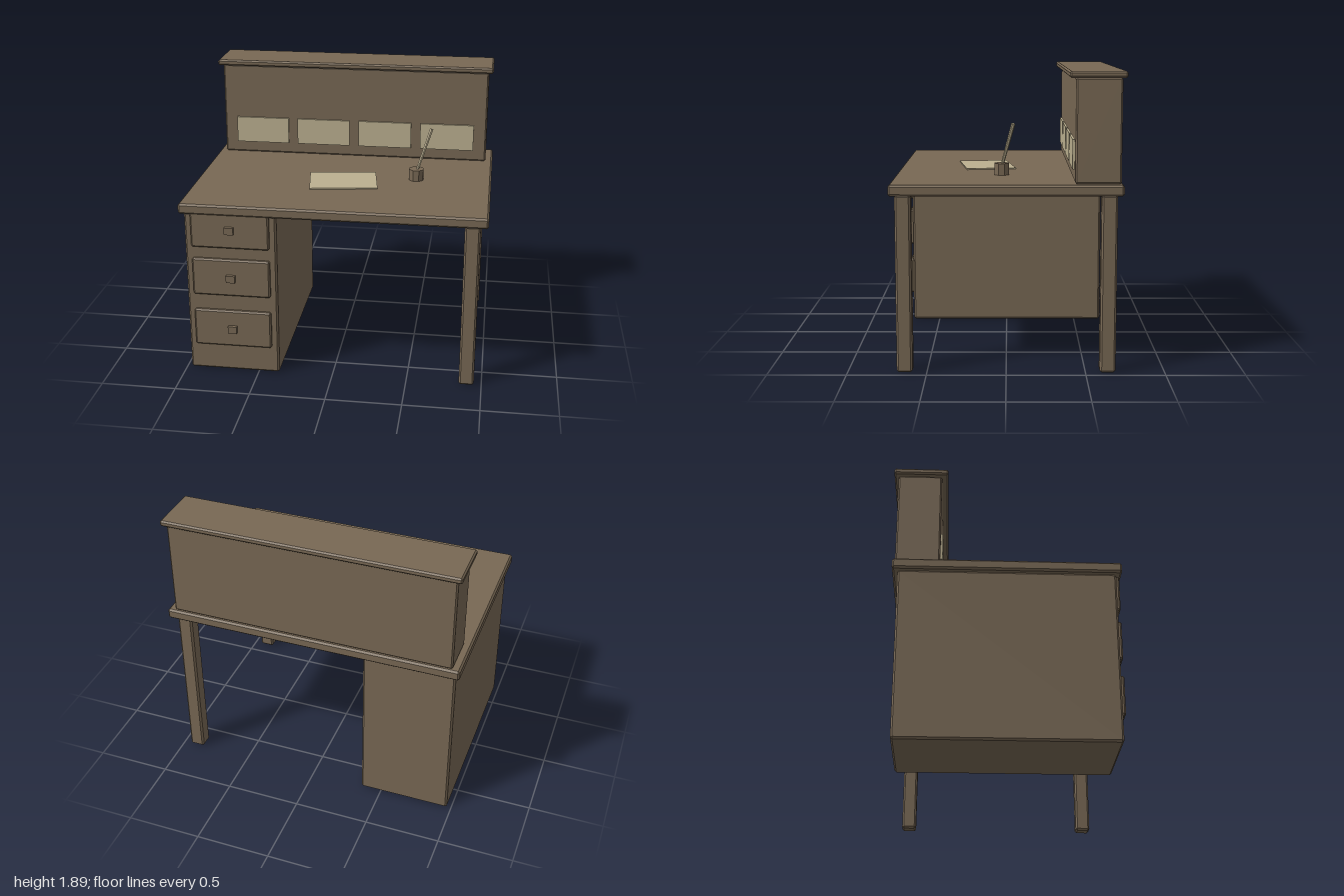
import * as THREE from 'three';
import { ConvexGeometry } from 'three/addons/geometries/ConvexGeometry.js';

const wood = new THREE.MeshStandardMaterial({ color: 0x786854 });
wood.name = 'wood';
const parchment = new THREE.MeshStandardMaterial({ color: 0xbcb090 });
parchment.name = 'parchment';

// Box with every edge cut by a flat chamfer c
function chamferBox(w, h, d, c) {
  const points = [];
  for (const x of [-w / 2, w / 2]) for (const y of [-h / 2, h / 2]) for (const z of [-d / 2, d / 2]) {
    const sx = Math.sign(x) * c, sy = Math.sign(y) * c, sz = Math.sign(z) * c;
    points.push(
      new THREE.Vector3(x, y - sy, z - sz),
      new THREE.Vector3(x - sx, y, z - sz),
      new THREE.Vector3(x - sx, y - sy, z));
  }
  return new ConvexGeometry(points);
}

export function createModel() {
  const desk = new THREE.Group();
  desk.name = 'desk';

  // Adds a box given by its extents on each axis
  function block(name, [x0, x1], [y0, y1], [z0, z1], chamfer = 0, material = wood) {
    const w = x1 - x0, h = y1 - y0, d = z1 - z0;
    const geometry = chamfer ? chamferBox(w, h, d, chamfer) : new THREE.BoxGeometry(w, h, d);
    const mesh = new THREE.Mesh(geometry, material);
    mesh.name = name;
    mesh.position.set((x0 + x1) / 2, (y0 + y1) / 2, (z0 + z1) / 2);
    desk.add(mesh);
    return mesh;
  }

  // Top, drawer cabinet and the two legs
  block('desktop', [-1, 1], [1.13, 1.2], [-0.725, 0.725], 0.012);
  block('cabinet', [-0.97, -0.36], [0, 1.13], [-0.69, 0.69], 0.012);
  block('frontLeg', [0.85, 0.95], [0, 1.13], [0.59, 0.69], 0.012);
  block('backLeg', [0.85, 0.95], [0, 1.13], [-0.69, -0.59], 0.012);

  // Drawers with square knobs
  for (const y of [0.32, 0.69, 1.03]) {
    block('drawerFront', [-0.925, -0.405], [y - 0.13, y + 0.13], [0.66, 0.715], 0.01);
    block('drawerKnob', [-0.695, -0.635], [y - 0.024, y + 0.024], [0.7, 0.738]);
  }

  // Raised back shelf and its cap
  block('hutch', [-0.95, 0.95], [1.2, 1.85], [-0.71, -0.425], 0.01);
  block('hutchCap', [-0.98, 0.98], [1.85, 1.89], [-0.738, -0.385], 0.01);
  for (let i = 0; i < 4; i++) {
    const x = (i - 1.5) * 0.446;
    block('hutchPanel', [x - 0.19, x + 0.19], [1.28, 1.465], [-0.43, -0.411], 0, parchment);
  }

  // Sheet of paper lying askew
  const paper = block('paper', [-0.2275, 0.2275], [1.2, 1.208], [-0.032, 0.302], 0, parchment);
  paper.rotation.y = 0.147;

  // Eight-sided inkwell
  const inkwell = new THREE.Mesh(
    new THREE.CylinderGeometry(0.052, 0.052, 0.076, 8).toNonIndexed(), wood);
  inkwell.geometry.computeVertexNormals();
  inkwell.name = 'inkwell';
  inkwell.position.set(0.49, 1.238, 0.03);
  inkwell.rotation.y = Math.PI / 8;
  desk.add(inkwell);

  // Quill leaning out of the inkwell
  const foot = new THREE.Vector3(0.485, 1.235, 0.035);
  const tip = new THREE.Vector3(0.582, 1.54, -0.045);
  const quill = new THREE.Mesh(
    new THREE.CylinderGeometry(0.013, 0.01, foot.distanceTo(tip), 6).toNonIndexed(), parchment);
  quill.geometry.computeVertexNormals();
  quill.name = 'quill';
  quill.position.copy(foot).lerp(tip, 0.5);
  quill.quaternion.setFromUnitVectors(
    new THREE.Vector3(0, 1, 0), tip.clone().sub(foot).normalize());
  desk.add(quill);

  return desk;
}
